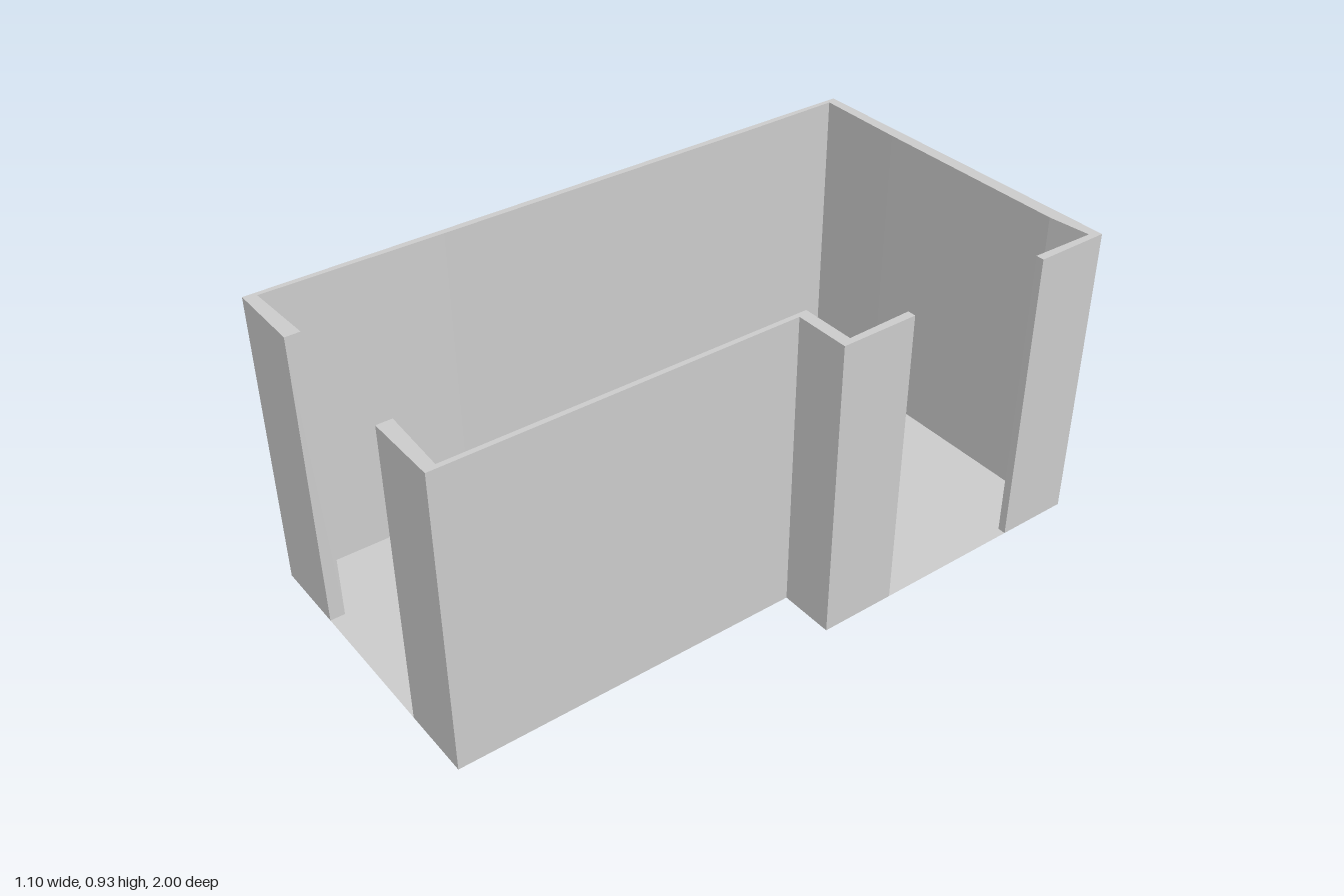
import * as THREE from 'three';

const HEIGHT = 0.93;

// Plan outlines are given as [x, z]; the shape is laid flat afterwards.
const plan = (points) => new THREE.Shape(points.map(([x, z]) => new THREE.Vector2(x, -z)));

export function createModel() {
  const group = new THREE.Group();
  const material = new THREE.MeshStandardMaterial({ color: 0xcccccc, flatShading: true });
  const thin = new THREE.MeshStandardMaterial({ color: 0xcccccc, side: THREE.DoubleSide });

  const add = (name, geometry, mat) => {
    geometry.rotateX(-Math.PI / 2);
    const mesh = new THREE.Mesh(geometry, mat);
    mesh.name = name;
    group.add(mesh);
  };
  const addWall = (name, points) => add(name,
    new THREE.ExtrudeGeometry(plan(points), { depth: HEIGHT, bevelEnabled: false }), material);

  // Paper-thin L-shaped floor
  add('floor', new THREE.ShapeGeometry(plan([
    [-0.55, 1], [0.38, 1], [0.38, -0.07], [0.55, -0.07], [0.55, -1], [-0.55, -1],
  ])), thin);

  // Wall from the front doorway round the side and back to the side opening
  addWall('outerWall', [
    [-0.31, 1], [-0.55, 1], [-0.55, -1], [0.55, -1], [0.55, -0.77], [0.525, -0.77],
    [0.53, -0.97], [0.4, -0.957], [-0.24, -0.963], [-0.535, -0.97],
    [-0.53, -0.62], [-0.53, 0.42], [-0.535, 0.965], [-0.31, 0.955],
  ]);

  // Stepped wall between the side opening and the front doorway
  addWall('steppedWall', [
    [0.55, -0.305], [0.55, -0.07], [0.38, -0.07], [0.38, 1], [0.155, 1], [0.155, 0.955],
    [0.365, 0.965], [0.365, -0.105], [0.53, -0.105], [0.525, -0.305],
  ]);

  return group;
}
